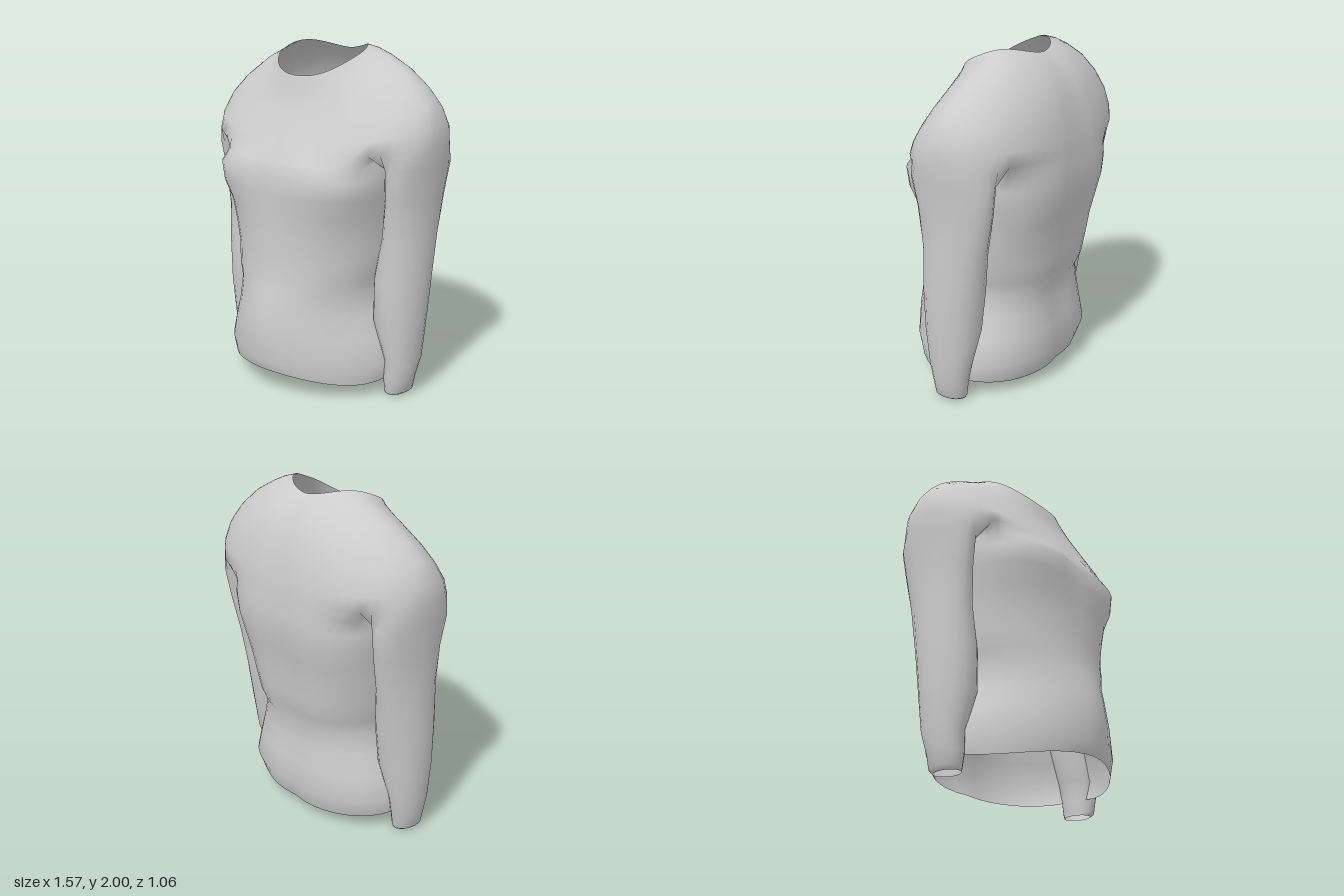
import * as THREE from 'three';

const COLS = 56;          // columns around the yoke
const F = 7, B = 21;      // columns where the sleeve leaves the yoke, front and back
const ARCH = 10;          // steps across the underarm
const TAU = Math.PI * 2;

// Rings: [half width, side y, side z, front y, front z, back y, back z,
//         front power, back power, front rise, back rise]
const YOKE = [
  [0.29, 1.97, -0.05, 1.83, 0.178, 1.96, -0.29, 2.2, 1.6, 0.015, 0.035],
  [0.335, 1.96, -0.09, 1.80, 0.187, 1.935, -0.325, 2.2, 1.8, 0.015, 0.033],
  [0.40, 1.938, -0.12, 1.765, 0.197, 1.89, -0.37, 2.2, 2.0, 0.015, 0.025],
  [0.52, 1.88, -0.12, 1.70, 0.215, 1.82, -0.425, 2.2, 2.2, 0.01, 0.015],
  [0.64, 1.795, -0.11, 1.63, 0.25, 1.72, -0.47, 2.1, 2.3, 0.01, 0.01],
  [0.73, 1.71, -0.10, 1.56, 0.29, 1.62, -0.495, 2.1, 2.4, 0, 0],
  [0.78, 1.60, -0.09, 1.49, 0.335, 1.53, -0.515, 2.1, 2.4, 0, 0],
  [0.785, 1.49, -0.09, 1.43, 0.375, 1.46, -0.522, 2.1, 2.4, 0, 0],
];
const BODY = [
  [0.57, 1.39, -0.06, 1.365, 0.42, 1.38, -0.53, 2.7, 3.0, 0, 0],
  [0.575, 1.30, -0.06, 1.30, 0.455, 1.30, -0.535, 3.2, 3.0, 0, 0],
  [0.56, 1.19, -0.05, 1.19, 0.45, 1.19, -0.53, 3.1, 3.0, 0, 0],
  [0.535, 1.08, -0.05, 1.08, 0.438, 1.08, -0.505, 2.6, 3.0, 0, 0],
  [0.52, 0.95, -0.04, 0.95, 0.44, 0.95, -0.48, 2.3, 2.8, 0, 0],
  [0.505, 0.82, -0.02, 0.82, 0.445, 0.82, -0.47, 2.1, 2.6, 0, 0],
  [0.485, 0.70, 0, 0.70, 0.455, 0.70, -0.455, 2.1, 2.5, 0, 0],
  [0.455, 0.61, 0, 0.61, 0.475, 0.61, -0.415, 2.0, 2.5, 0, 0],
  [0.49, 0.48, 0, 0.48, 0.51, 0.48, -0.42, 1.8, 2.5, 0, 0],
  [0.54, 0.35, 0, 0.35, 0.525, 0.35, -0.435, 1.75, 2.4, 0, 0],
  [0.592, 0.21, 0, 0.20, 0.52, 0.20, -0.455, 1.75, 2.3, 0, 0],
  [0.565, 0.10, 0, 0.135, 0.495, 0.07, -0.41, 1.8, 2.2, -0.035, 0],
];
// Sleeve: [y, centre x, half width, centre z, half depth]
const SLEEVE = [
  [1.36, 0.652, 0.125, -0.10, 0.262],
  [1.18, 0.637, 0.115, -0.10, 0.235],
  [0.95, 0.62, 0.128, -0.085, 0.20],
  [0.70, 0.597, 0.15, -0.06, 0.188],
  [0.45, 0.592, 0.145, -0.045, 0.17],
  [0.22, 0.622, 0.098, -0.04, 0.13],
  [0.10, 0.608, 0.085, -0.03, 0.11],
  [0.02, 0.605, 0.072, -0.03, 0.10],
  [0.00, 0.59, 0.06, -0.03, 0.085],
];

// One point of a body ring; angle 0 faces the front and a quarter turn faces +x
function ringPoint([w, sy, sz, fy, fz, by, bz, nf, nb, riseF, riseB], angle) {
  const s = Math.sin(angle), c = Math.cos(angle);
  const front = c > 0, n = front ? nf : nb;
  const x = w * Math.sign(s) * Math.abs(s) ** (2 / n);
  const t = Math.abs(c) ** (2 / n);
  const y = sy + ((front ? fy : by) - sy) * t + (front ? riseF : riseB) * Math.sin(t * Math.PI);
  let z = sz + ((front ? fz : bz) - sz) * t;
  const middle = Math.exp(-((x / 0.09) ** 2));
  if (!front) z += 0.016 * middle;                                       // spine hollow
  else z -= 0.025 * middle * Math.exp(-(((y - 1.31) / 0.12) ** 2));      // hollow between breasts
  return new THREE.Vector3(x, y, z);
}

const mirrorPoint = (p) => new THREE.Vector3(-p.x, p.y, p.z);
const mirrorRing = (ring) => ring.map(mirrorPoint).reverse();

export function createModel() {
  const cloth = new THREE.MeshStandardMaterial({ color: 0xcccccc, side: THREE.DoubleSide });
  cloth.name = 'grey cloth';

  // Shared points, so that normals run smoothly across the seams
  const positions = [], known = new Map();
  const addPoint = (p) => {
    const key = p.toArray().map((v) => Math.round(v * 1e4)).join();
    if (!known.has(key)) {
      known.set(key, positions.length / 3);
      positions.push(p.x, p.y, p.z);
    }
    return known.get(key);
  };
  const loft = (rings) => {
    const ids = rings.map((r) => r.map(addPoint)), out = [];
    for (let r = 0; r + 1 < ids.length; r++) {
      const n = ids[r].length;
      for (let i = 0; i < n; i++) {
        const j = (i + 1) % n;
        const a = ids[r][i], b = ids[r][j], c = ids[r + 1][i], d = ids[r + 1][j];
        out.push(a, c, b, b, c, d);
      }
    }
    return out;
  };

  // Yoke: neckline to underarm level
  const yoke = YOKE.map((row) =>
    Array.from({ length: COLS }, (_, i) => ringPoint(row, (i / COLS) * TAU)));
  const edge = yoke[yoke.length - 1];

  // Underarm arch from the front split to the back split
  const arch = [];
  for (let k = 1; k < ARCH; k++) {
    const p = edge[F].clone().lerp(edge[B], k / ARCH);
    p.y -= 0.02 * Math.sin((k / ARCH) * Math.PI);
    arch.push(p);
  }

  // Torso below the underarm: even steps over the front, side and back of each half
  const split = THREE.MathUtils.degToRad(60);
  const half = [];
  for (let i = 0; i < F; i++) half.push(split * i / F);
  for (let k = 0; k < ARCH; k++) half.push(split + (Math.PI - 2 * split) * k / ARCH);
  for (let i = F; i > 0; i--) half.push(Math.PI - split * i / F);
  const angles = [...half, ...half.map((a) => a + Math.PI)];
  const torsoTop = [
    ...edge.slice(0, F + 1), ...arch,
    ...edge.slice(B, COLS - B + 1), ...mirrorRing(arch),
    ...edge.slice(COLS - F),
  ];
  const torso = [torsoTop, ...BODY.map((row) => angles.map((a) => ringPoint(row, a)))];

  // Left sleeve: outer half continues the yoke, inner half hangs from the arch
  const start = -38, end = 218, turns = [];
  for (let i = 0; i <= B - F; i++) turns.push(start + (end - start) * i / (B - F));
  for (let k = 1; k < ARCH; k++) turns.push(end + (360 + start - end) * k / ARCH);
  const sleeve = [[...edge.slice(F, B + 1), ...arch.slice().reverse()]];
  for (const [y, cx, rx, cz, rz] of SLEEVE) {
    sleeve.push(turns.map((deg) => {
      const a = THREE.MathUtils.degToRad(deg);
      return new THREE.Vector3(cx + rx * Math.sin(a), y, cz + rz * Math.cos(a));
    }));
  }

  const parts = {
    yoke: loft(yoke),
    torso: loft(torso),
    leftSleeve: loft(sleeve),
    rightSleeve: loft(sleeve.map(mirrorRing)),
  };

  // Smooth normals over the whole garment, then one mesh per part
  const whole = new THREE.BufferGeometry();
  whole.setAttribute('position', new THREE.Float32BufferAttribute(positions, 3));
  whole.setIndex(Object.values(parts).flat());
  whole.computeVertexNormals();

  const shirt = new THREE.Group();
  shirt.name = 'longSleevedShirt';
  for (const [name, index] of Object.entries(parts)) {
    whole.setIndex(index);
    const mesh = new THREE.Mesh(whole.toNonIndexed(), cloth);
    mesh.name = name;
    shirt.add(mesh);
  }
  return shirt;
}
